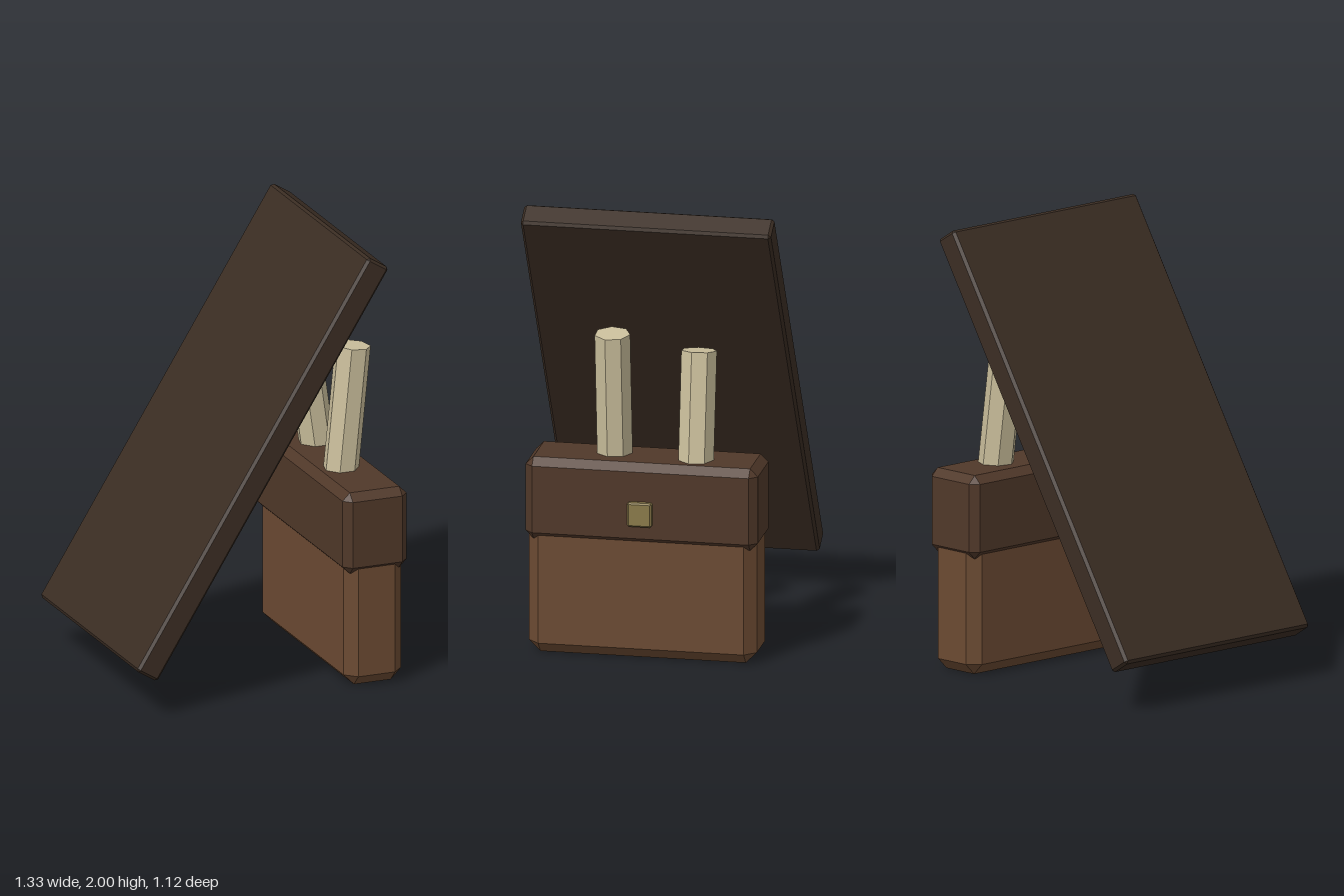
import * as THREE from 'three';
import { ConvexGeometry } from 'three/addons/geometries/ConvexGeometry.js';

const material = (color) => new THREE.MeshStandardMaterial({ color, flatShading: true });

// Box with every edge and corner cut at 45 degrees: the hull of 24 points
function chamferBox(w, h, d, c) {
  const points = [];
  for (const x of [-1, 1]) for (const y of [-1, 1]) for (const z of [-1, 1]) {
    for (let axis = 0; axis < 3; axis++) {
      const cut = [c, c, c];
      cut[axis] = 0;
      points.push(new THREE.Vector3(x * (w / 2 - cut[0]), y * (h / 2 - cut[1]), z * (d / 2 - cut[2])));
    }
  }
  return new ConvexGeometry(points);
}

export function createModel() {
  const group = new THREE.Group();
  const add = (name, geometry, mat, x, y, z, tilt = 0) => {
    const mesh = new THREE.Mesh(geometry, mat);
    mesh.name = name;
    mesh.position.set(x, y, z);
    mesh.rotation.z = tilt;
    group.add(mesh);
    return mesh;
  };

  // Leaning board
  add('leaningBoard', chamferBox(0.115, 2.09, 1.12, 0.012), material(0x3b2d23), -0.072, 1.087, 0, -0.556);

  // Pouch: body, overlapping flap and clasp
  add('pouchBody', chamferBox(0.275, 0.7, 1.02, 0.05), material(0x6b4a32), 0.4875, 0.35, 0);
  add('pouchFlap', chamferBox(0.305, 0.375, 1.04, 0.035), material(0x503829), 0.4875, 0.7125, 0);
  add('clasp', chamferBox(0.05, 0.11, 0.11, 0.007), material(0x8a7a4a), 0.642, 0.675, 0);

  // Seven-sided rolls standing in the pouch, placed by their top centre
  const length = 0.8;
  const rollGeometry = new THREE.CylinderGeometry(0.08, 0.08, length, 7);
  rollGeometry.rotateY(Math.PI);
  rollGeometry.translate(0, -length / 2, 0);
  const rollMaterial = material(0xcbbf9c);
  add('frontRoll', rollGeometry, rollMaterial, 0.525, 1.46, 0.148, -0.1);
  add('backRoll', rollGeometry, rollMaterial, 0.438, 1.38, -0.223, 0.14);

  return group;
}
